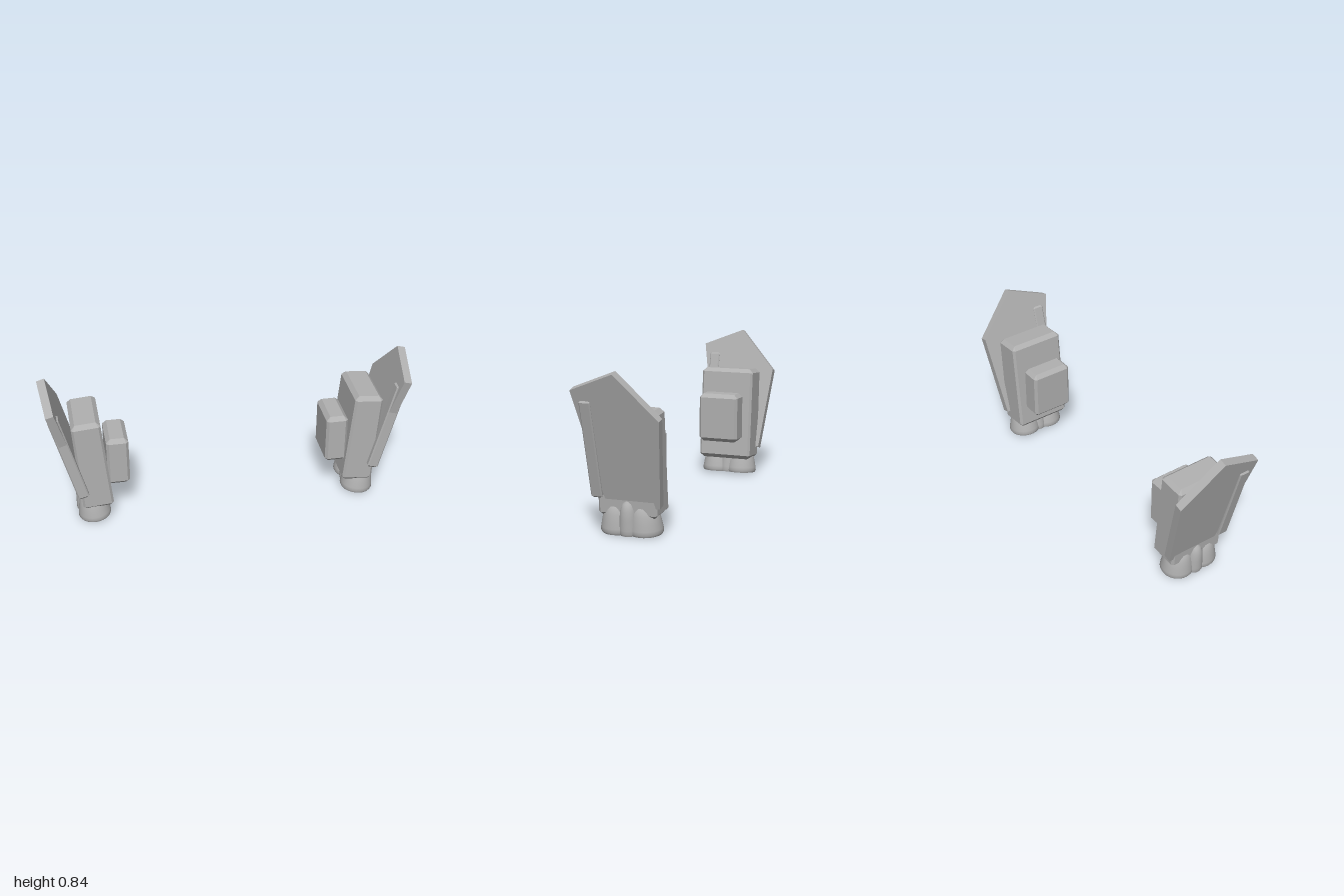
import * as THREE from 'three';
import { ConvexGeometry } from 'three/addons/geometries/ConvexGeometry.js';

const casing = new THREE.MeshStandardMaterial({ color: 0xb0b0b0 });
casing.name = 'casing grey';

// Box with every edge cut: e is the inset of the upright edges, b of the ends
function chamferBox(w, h, d, e, b, topScale = 1) {
  const points = [];
  for (const sx of [-1, 1]) for (const sy of [-1, 1]) for (const sz of [-1, 1]) {
    const k = sy > 0 ? topScale : 1;
    const x = (w / 2) * k, y = h / 2, z = d / 2;
    points.push(
      new THREE.Vector3(sx * x, sy * (y - b), sz * (z - e)),
      new THREE.Vector3(sx * (x - e), sy * (y - b), sz * z),
      new THREE.Vector3(sx * (x - b), sy * y, sz * (z - b))
    );
  }
  return new ConvexGeometry(points);
}

function add(parent, name, geometry, x, y, z) {
  const mesh = new THREE.Mesh(geometry, casing);
  mesh.name = name;
  mesh.position.set(x, y, z);
  parent.add(mesh);
  return mesh;
}

// Flared toe: curved sides over a flat, slightly rounded sole
function toeGeometry(profile) {
  const sole = profile[0];
  const side = new THREE.LatheGeometry(profile.map(([r, y]) => new THREE.Vector2(r, y)), 28);
  const group = new THREE.Group();
  add(group, 'toeSide', side, 0, 0, 0);
  const base = new THREE.CircleGeometry(sole[0], 28).rotateX(Math.PI / 2);
  add(group, 'toeSole', base, 0, sole[1], 0);
  return group;
}

const bigToe = [[0.084, 0], [0.09, 0.012], [0.088, 0.03], [0.081, 0.065], [0.073, 0.1], [0.058, 0.14], [0.03, 0.16], [0.001, 0.165]];
const smallToe = [[0.046, 0], [0.05, 0.012], [0.049, 0.03], [0.045, 0.08], [0.04, 0.125], [0.027, 0.16], [0.001, 0.185]];

function createPod(s) {
  const pod = new THREE.Group();
  pod.name = s > 0 ? 'leftPod' : 'rightPod';

  // Main block leaning outward
  const body = add(pod, 'body', chamferBox(0.168, 0.54, 0.314, 0.012, 0.022, 0.93), s * 0.746, 0.365, 0);
  body.rotation.z = -s * 0.084;

  // Upright block on the inner face
  add(pod, 'innerBlock', chamferBox(0.12, 0.285, 0.235, 0.014, 0.022), s * 0.604, 0.361, 0.008);

  // Foot of four merged toes
  const foot = new THREE.Group();
  foot.name = 'foot';
  foot.position.set(s * 0.743, 0.009, 0);
  foot.rotation.z = -s * 0.084;
  const toes = [
    ['frontToe', bigToe, 0, 0.074], ['rearToe', bigToe, 0, -0.074],
    ['outerToe', smallToe, 0.043, 0], ['innerToe', smallToe, -0.025, 0]
  ];
  for (const [name, profile, x, z] of toes) {
    const toe = toeGeometry(profile);
    toe.name = name;
    toe.position.set(s * x, 0, z);
    foot.add(toe);
  }
  pod.add(foot);

  // Five-sided outer plate with a strip along its front edge
  const fin = new THREE.Group();
  fin.name = 'fin';
  fin.position.set(s * 0.784, 0.156, 0);
  fin.rotation.z = -s * 0.274;
  const outline = [[0.225, 0.615], [-0.01, 0.71], [-0.222, 0.475], [-0.175, 0], [0.11, 0]];
  const shape = new THREE.Shape(outline.map(([z, y]) => new THREE.Vector2(-z, y)));
  const plate = new THREE.ExtrudeGeometry(shape, { depth: 0.044, bevelEnabled: false });
  plate.translate(0, 0, -0.022).rotateY(Math.PI / 2);
  add(fin, 'plate', plate, 0, 0, 0);
  const strip = add(fin, 'edgeStrip', chamferBox(0.06, 0.53, 0.06, 0.006, 0.013), s * 0.003, 0.302, 0.155);
  strip.rotation.z = s * 0.012;
  pod.add(fin);
  return pod;
}

export function createModel() {
  const model = new THREE.Group();
  model.name = 'podPair';
  for (const s of [1, -1]) model.add(createPod(s));
  return model;
}
